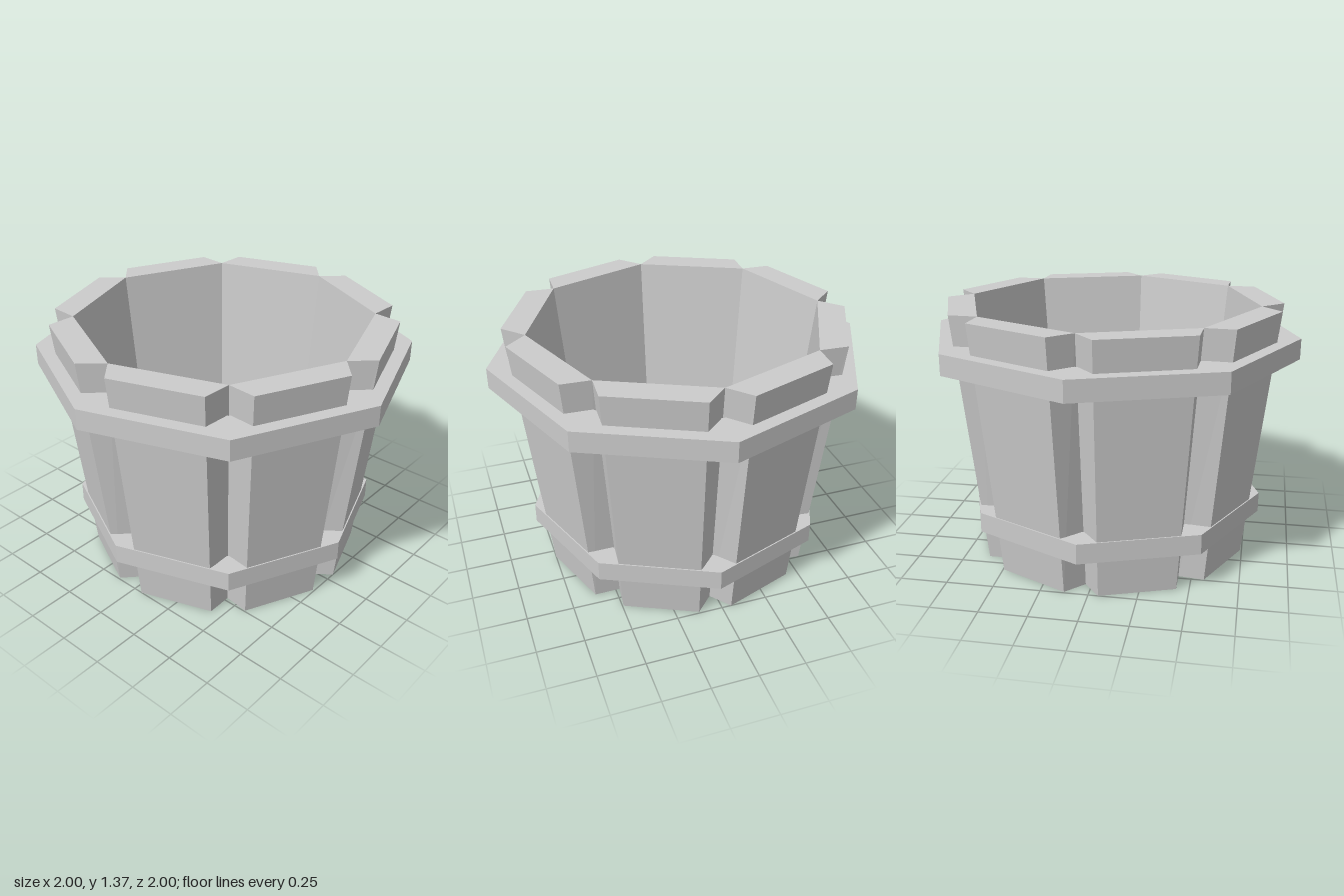
import * as THREE from 'three';

const SIDES = 8;
const STEP = (Math.PI * 2) / SIDES;
const TWIST = THREE.MathUtils.degToRad(2.9); // the whole tub is turned slightly
const HEIGHT = 1.365;

const material = new THREE.MeshStandardMaterial({ color: 0xcccccc, flatShading: true });

// Octagon corners, first one at the twist angle
function octagon(radius) {
  return Array.from({ length: SIDES }, (_, i) => {
    const a = TWIST + i * STEP;
    return new THREE.Vector2(Math.cos(a) * radius, Math.sin(a) * radius);
  });
}

// Flat octagonal band with straight sides
function hoop(name, outer, inner, bottom, top) {
  const shape = new THREE.Shape(octagon(outer));
  shape.holes.push(new THREE.Path(octagon(inner)));
  const geometry = new THREE.ExtrudeGeometry(shape, { depth: top - bottom, bevelEnabled: false });
  geometry.rotateX(Math.PI / 2).translate(0, top, 0);
  const mesh = new THREE.Mesh(geometry, material);
  mesh.name = name;
  return mesh;
}

// Plank with a trapezoid section (wide inside, narrow outside) leaning outward
function staveGeometry() {
  const ends = {
    bottom: { innerR: 0.645, outerZ: 0.724, outerHalf: 0.203 },
    top: { innerR: 0.79, outerZ: 0.872, outerHalf: 0.245 },
  };
  const geometry = new THREE.BoxGeometry(2, 2, 2);
  const p = geometry.attributes.position;
  for (let i = 0; i < p.count; i++) {
    const end = p.getY(i) > 0 ? ends.top : ends.bottom;
    const outside = p.getZ(i) > 0;
    const half = outside ? end.outerHalf : end.innerR * Math.sin(STEP / 2);
    const z = outside ? end.outerZ : end.innerR * Math.cos(STEP / 2);
    p.setXYZ(i, Math.sign(p.getX(i)) * half, p.getY(i) > 0 ? HEIGHT : 0, z);
  }
  geometry.computeVertexNormals();
  return geometry;
}

export function createModel() {
  const tub = new THREE.Group();
  tub.name = 'woodenTub';

  // Ring of staves
  const staves = new THREE.Group();
  staves.name = 'staves';
  const plank = staveGeometry();
  for (let i = 0; i < SIDES; i++) {
    const stave = new THREE.Mesh(plank, material);
    stave.name = `stave${i + 1}`;
    stave.rotation.y = Math.PI / 2 - (TWIST + (i + 0.5) * STEP);
    staves.add(stave);
  }
  tub.add(staves);

  // Floor, raised above the foot of the staves
  const floor = new THREE.Mesh(new THREE.CylinderGeometry(0.66, 0.66, 0.02, SIDES), material);
  floor.name = 'floor';
  floor.position.y = 0.135;
  floor.rotation.y = -TWIST;
  tub.add(floor);

  // Two bands holding the staves
  tub.add(hoop('upperHoop', 1.0, 0.785, 1.095, 1.205));
  tub.add(hoop('lowerHoop', 0.828, 0.685, 0.21, 0.318));

  return tub;
}
